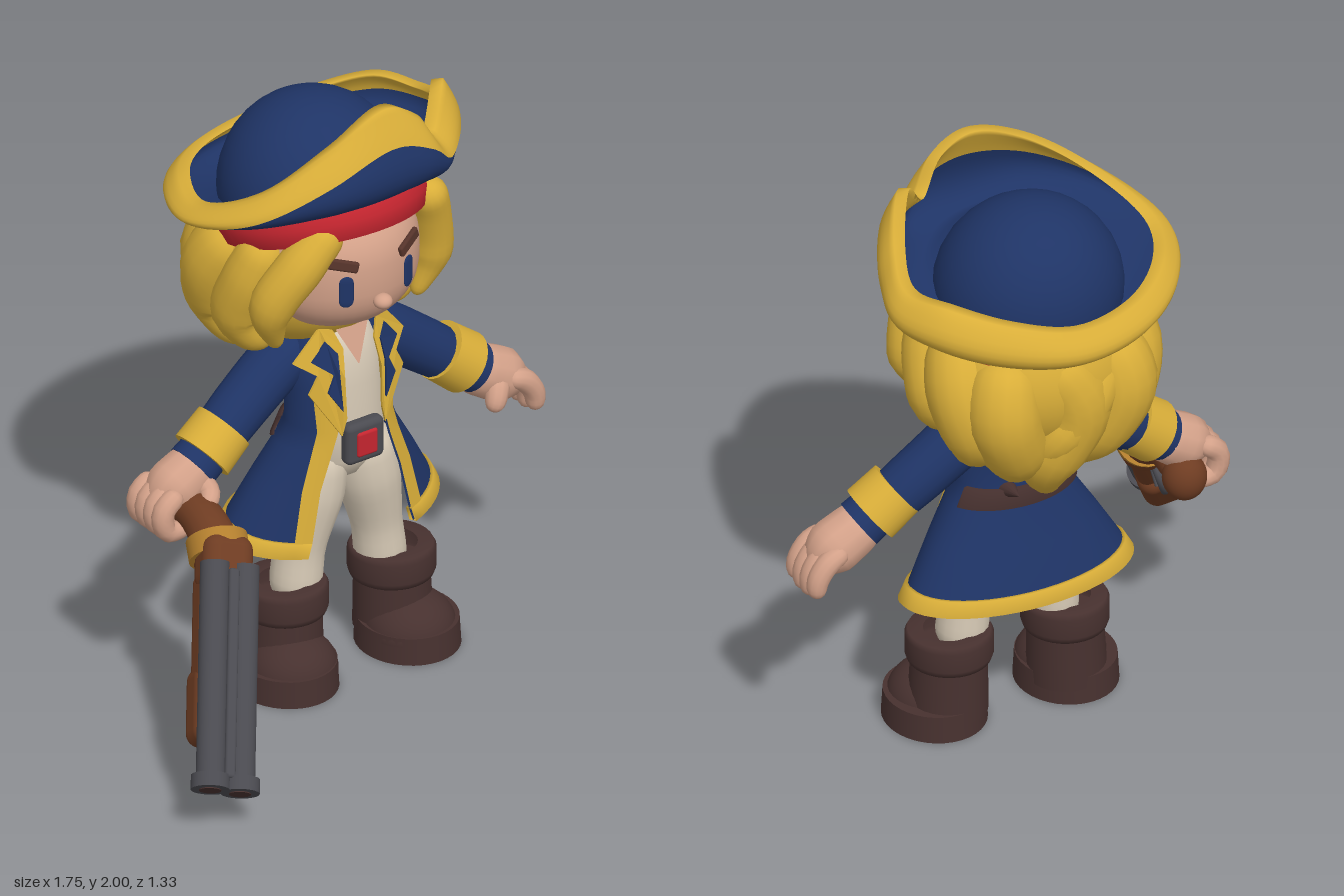
import * as THREE from 'three';
import { RoundedBoxGeometry } from 'three/addons/geometries/RoundedBoxGeometry.js';

const V = (x, y, z) => new THREE.Vector3(x, y, z);
const CX = 0.14; // body centre line

function makeMaterial(name, color, side = THREE.FrontSide) {
  const m = new THREE.MeshStandardMaterial({ color, side });
  m.name = name;
  return m;
}

// Skin a surface over loops of points
function loft(loops, closed = true) {
  const n = loops[0].length, pos = [], idx = [];
  loops.forEach((l) => l.forEach((p) => pos.push(p.x, p.y, p.z)));
  for (let i = 0; i < loops.length - 1; i++) {
    for (let j = 0; j < (closed ? n : n - 1); j++) {
      const a = i * n + j, b = i * n + ((j + 1) % n), c = a + n, d = b + n;
      idx.push(a, b, c, b, d, c);
    }
  }
  const g = new THREE.BufferGeometry();
  g.setAttribute('position', new THREE.Float32BufferAttribute(pos, 3));
  g.setIndex(idx);
  g.computeVertexNormals();
  return g;
}

// Round-ended limb of varying radius along a curve
function sweep(pts, radii, n = 24, sides = 16) {
  const curve = new THREE.CatmullRomCurve3(pts), len = curve.getLength();
  const frames = curve.computeFrenetFrames(200), loops = [];
  for (let k = 0; k <= n; k++) {
    const t = (1 - Math.cos((Math.PI * k) / n)) / 2, q = t * (radii.length - 1);
    const i = Math.min(Math.floor(q), radii.length - 2), f = Math.round(t * 200);
    let r = THREE.MathUtils.lerp(radii[i], radii[i + 1], q - i);
    const e = Math.min(t, 1 - t) * len;
    if (e < r) r *= Math.sqrt(Math.max(1e-6, 1 - (1 - e / r) ** 2));
    const c = curve.getPointAt(t);
    loops.push(Array.from({ length: sides }, (_, j) => {
      const a = (j / sides) * Math.PI * 2;
      return c.clone().addScaledVector(frames.normals[f], r * Math.cos(a)).addScaledVector(frames.binormals[f], r * Math.sin(a));
    }));
  }
  return loft(loops);
}

export function createModel() {
  const model = new THREE.Group();
  const skin = makeMaterial('skin', 0xd3a189, THREE.DoubleSide), navy = makeMaterial('navy cloth', 0x1f3466, THREE.DoubleSide);
  const gold = makeMaterial('gold', 0xd9ae39, THREE.DoubleSide), red = makeMaterial('red', 0xc4252f);
  const cream = makeMaterial('cream cloth', 0xd6c9b5), leather = makeMaterial('dark leather', 0x47312f, THREE.DoubleSide);
  const metal = makeMaterial('gunmetal', 0x4a4a50), wood = makeMaterial('wood', 0x6e3c22), brass = makeMaterial('brass', 0xb37f2e);
  const browBrown = makeMaterial('brow brown', 0x55332a);

  const add = (name, geo, mat, p = [0, 0, 0], s = [1, 1, 1], parent = model) => {
    const m = new THREE.Mesh(geo, mat);
    m.name = name;
    m.position.set(...p);
    m.scale.set(...s);
    parent.add(m);
    return m;
  };
  const ball = (name, mat, p, s) => add(name, new THREE.SphereGeometry(1, 32, 20), mat, p, s);
  const rod = (name, mat, a, b, r1, r2 = r1) => {
    const m = add(name, new THREE.CylinderGeometry(r2, r1, a.distanceTo(b), 28), mat, a.clone().add(b).multiplyScalar(0.5).toArray());
    m.quaternion.setFromUnitVectors(V(0, 1, 0), b.clone().sub(a).normalize());
    return m;
  };

  // Head: slightly squared sphere
  const head = new THREE.SphereGeometry(1, 40, 28), hp = head.attributes.position;
  for (let i = 0; i < hp.count; i++) hp.setY(i, Math.sign(hp.getY(i)) * Math.abs(hp.getY(i)) ** 0.75);
  head.computeVertexNormals();
  add('head', head, skin, [CX, 1.43, -0.13], [0.27, 0.23, 0.26]);
  ball('nose', skin, [CX, 1.36, 0.138], [0.03, 0.024, 0.03]);
  for (const s of [-1, 1]) {
    const eye = add('eye', new THREE.CapsuleGeometry(0.023, 0.062, 6, 16), navy, [CX + s * 0.115, 1.415, 0.109], [1, 1, 0.2]);
    eye.rotation.y = s * 0.4;
    const brow = add('eyebrow', new RoundedBoxGeometry(0.11, 0.036, 0.018, 3, 0.008), browBrown, [CX + s * 0.125, 1.507, 0.096]);
    brow.rotation.set(-0.15, s * 0.45, s * 0.3);
  }
  rod('neck', skin, V(CX, 1.08, -0.12), V(CX, 1.26, -0.12), 0.08, 0.075);

  // Hair: rounded mass with overlapping tapering locks
  ball('hairMass', gold, [CX, 1.37, -0.26], [0.345, 0.29, 0.295]);
  const lock = (pts, radii) => add('hairLock', sweep(pts.map((p) => V(...p)), radii), gold);
  lock([[0.03, 1.63, 0.045], [-0.09, 1.5, 0.025], [-0.165, 1.36, -0.02], [-0.125, 1.2, -0.05]], [0.06, 0.075, 0.072, 0.02]);
  lock([[0.39, 1.63, 0.01], [0.435, 1.5, -0.03], [0.455, 1.34, -0.06], [0.4, 1.2, -0.06]], [0.06, 0.065, 0.07, 0.02]);
  for (const s of [-1, 1]) {
    const x = (d) => CX + s * d;
    lock([[x(0.25), 1.56, -0.1], [x(0.29), 1.4, -0.15], [x(0.29), 1.26, -0.2], [x(0.23), 1.14, -0.15]], [0.07, 0.09, 0.095, 0.05]);
    lock([[x(0.24), 1.53, -0.24], [x(0.28), 1.36, -0.34], [x(0.24), 1.2, -0.36], [x(0.23), 1.1, -0.26]], [0.1, 0.115, 0.11, 0.05]);
    lock([[x(0.16), 1.5, -0.4], [x(0.2), 1.32, -0.45], [x(0.13), 1.13, -0.4], [x(0.1), 1.0, -0.31]], [0.1, 0.12, 0.11, 0.04]);
  }
  lock([[0.2, 1.5, -0.44], [0.1, 1.3, -0.465], [0.17, 1.08, -0.41], [0.13, 0.92, -0.34]], [0.1, 0.115, 0.11, 0.03]);
  lock([[-0.06, 1.5, -0.38], [0.06, 1.32, -0.48], [0.18, 1.18, -0.47], [0.24, 1.06, -0.38]], [0.07, 0.085, 0.08, 0.02]);

  // Hat: band, crown and a wavy upturned brim
  const band = add('hatBand', new THREE.LatheGeometry([[0.3, -0.06], [0.325, -0.055], [0.338, 0], [0.33, 0.055], [0.29, 0.06]].map((p) => new THREE.Vector2(...p)), 48), red, [CX, 1.56, -0.2]);
  band.rotation.x = -0.3;
  ball('hatCrown', navy, [CX, 1.6, -0.235], [0.298, 0.305, 0.285]).rotation.x = -0.3;
  const edge = new THREE.CatmullRomCurve3([
    [-0.31, 1.69, -0.2], [-0.22, 1.78, -0.01], [-0.02, 1.92, 0.085], [0.19, 2.0, 0.085], [0.3, 1.94, 0.085], [0.38, 1.83, 0.05],
    [0.48, 1.94, -0.04], [0.56, 1.82, -0.17], [0.595, 1.76, -0.31], [0.53, 1.76, -0.45], [0.37, 1.71, -0.56],
    [0.16, 1.66, -0.61], [-0.07, 1.66, -0.55], [-0.23, 1.68, -0.41],
  ].map((p) => V(...p)), true);
  // t is the height up the brim; the gold trim starts lower at the sides and back
  const brimLoop = (tOf, inset) => Array.from({ length: 112 }, (_, j) => {
    const e = edge.getPoint(j / 112), a = Math.atan2(e.x - CX, e.z + 0.21);
    const dx = Math.sin(a), dz = Math.cos(a), r = 0.31, t = tOf(dz);
    const f = 1.1 * Math.sin(2 * t), out = (0.045 + 0.03 * Math.max(0, dz)) * Math.sin(Math.PI * t) - inset;
    const by = 1.605 + dz * r * 0.28, k = t ** 1.5;
    return V(CX + dx * r + (e.x - CX - dx * r) * f + dx * out,
      by + (e.y - by) * k + inset * 0.5 * (1 - t),
      -0.21 + dz * r + (e.z + 0.21 - dz * r) * f + dz * out);
  });
  const steps = (a, b, n) => Array.from({ length: n + 1 }, (_, i) => a + ((b - a) * i) / n);
  const split = (dz) => 0.44 + (dz > 0 ? 0.3 : 0.08) * dz;
  add('brimOutside', loft(steps(0, 1, 8).map((k) => brimLoop((dz) => split(dz) * k, 0))), navy);
  add('brimTrim', loft([...steps(0, 1, 7).map((k) => brimLoop((dz) => split(dz) + (1 - split(dz)) * k, -0.006)),
    ...steps(1, 0.72, 5).map((t) => brimLoop(() => t, 0.03))]), gold);
  add('brimInside', loft([...steps(0.72, 0, 8).map((t) => brimLoop(() => t, 0.03)), brimLoop(() => 0, 0.1)]), navy);

  // Shirt, open collar and hips
  add('shirt', new THREE.LatheGeometry([[0, 0.66], [0.1, 0.67], [0.15, 0.74], [0.155, 0.85], [0.145, 1.0], [0.135, 1.1], [0.09, 1.18], [0, 1.2]].map((p) => new THREE.Vector2(...p)), 36), cream, [CX, 0, -0.105], [1, 1, 0.78]);
  add('openCollar', loft([[V(0.075, 1.21, -0.03), V(0.205, 1.21, -0.03)], [V(0.138, 1.08, 0.012), V(0.142, 1.08, 0.012)]], false), skin);

  // Coat rows: y, half width, centre z, front depth, back depth, half opening
  const rows = [[0.505, 0.38, -0.16, 0.21, 0.195, 0.195], [0.553, 0.355, -0.155, 0.203, 0.188, 0.18], [0.68, 0.28, -0.14, 0.18, 0.155, 0.145],
    [0.8, 0.205, -0.12, 0.16, 0.13, 0.105], [0.87, 0.176, -0.11, 0.15, 0.12, 0.085], [1.0, 0.175, -0.11, 0.135, 0.12, 0.09],
    [1.12, 0.168, -0.125, 0.125, 0.12, 0.09], [1.19, 0.125, -0.14, 0.1, 0.11, 0.08], [1.23, 0.09, -0.14, 0.07, 0.09, 0.07]];
  const coatLoop = ([y, rx, cz, f, b, o], from, to, grow = 0) => {
    const at = (k) => (k < 0 ? Math.PI * -k : Math.asin(Math.min(1, (o + k) / rx)));
    const a0 = at(from), a1 = to === null ? Math.PI * 2 - a0 : at(to);
    return steps(a0, a1, 40).map((a) => V(CX + (rx + grow) * Math.sin(a),
      y - (y < 0.6 ? 0.05 * Math.max(0, Math.cos(a)) : 0),
      cz + ((Math.cos(a) > 0 ? f : b) + grow) * Math.cos(a)));
  };
  add('coat', loft(rows.map((r) => coatLoop(r, 0, null)), false), navy);
  add('coatHem', loft([coatLoop(rows[0], 0, null), coatLoop(rows[0], 0, null, 0.012), coatLoop(rows[1], 0, null, 0.01), coatLoop(rows[1], 0, null, -0.01), coatLoop(rows[0], 0, null, -0.012), coatLoop(rows[0], 0, null)], false), gold);
  for (const s of [1, -1]) {
    const strip = rows.slice(0, 6).map((r) => coatLoop(r, 0, 0.05, 0.008));
    strip.forEach((l) => l.forEach((p) => { p.x = CX + s * (p.x - CX); }));
    add('frontTrim', loft(strip, false), gold);
    // Lapel: notched gold plate with a navy inset, wrapped to the chest
    const lapel = (name, pts, mat, z) => {
      const g = new THREE.ExtrudeGeometry(new THREE.Shape(pts.map(([x, y]) => new THREE.Vector2(CX + s * x, y))), { depth: 0.008, bevelEnabled: false });
      const p = g.attributes.position;
      for (let i = 0; i < p.count; i++) p.setZ(i, p.getZ(i) + z - 1.7 * (p.getX(i) - CX) ** 2 - 0.3 * Math.max(0, p.getY(i) - 1.04));
      g.computeVertexNormals();
      add(name, g, mat);
    };
    lapel('lapelEdge', [[0.12, 1.22], [0.205, 1.115], [0.145, 1.075], [0.175, 1.015], [0.08, 0.86], [0.065, 0.92], [0.068, 1.06], [0.058, 1.15], [0.08, 1.21]], gold, 0.042);
    lapel('lapelFace', [[0.11, 1.18], [0.158, 1.12], [0.1, 1.075], [0.124, 1.02], [0.08, 0.95], [0.085, 1.07], [0.08, 1.14]], navy, 0.048);
  }

  // Belt and buckle
  const beltRow = (y, g) => coatLoop([y, 0.18 + (0.87 - y) * 0.5, -0.11, 0.15, 0.122 + (0.87 - y) * 0.2, 0], -0.62, -1.38, g);
  add('belt', loft([beltRow(0.81, 0), beltRow(0.81, 0.014), beltRow(0.87, 0.014), beltRow(0.87, 0)], false), leather);
  const knot = add('beltKnot', new THREE.ConeGeometry(0.03, 0.08, 12), leather, [0.2, 0.87, -0.255]);
  knot.rotation.x = -1.4;
  add('buckle', new RoundedBoxGeometry(0.14, 0.14, 0.05, 4, 0.02), metal, [CX, 0.82, 0.03]);
  add('buckleGem', new RoundedBoxGeometry(0.075, 0.085, 0.02, 3, 0.009), red, [CX, 0.82, 0.053]);

  for (const s of [-1, 1]) {
    const x = (d) => CX + s * d;
    // Legs and boots
    add('leg', sweep([V(x(0.075), 0.8, -0.1), V(x(0.1), 0.64, -0.095), V(x(0.138), 0.46, -0.1), V(x(0.165), 0.24, -0.1)], [0.1, 0.105, 0.08, 0.085]), cream);
    rod('bootShaft', leather, V(x(0.205), 0.05, -0.1), V(x(0.2), 0.25, -0.1), 0.125, 0.118);
    add('bootCuff', new THREE.LatheGeometry([[0.11, 0.225], [0.13, 0.23], [0.137, 0.25], [0.137, 0.315], [0.128, 0.332], [0.08, 0.332]].map((p) => new THREE.Vector2(...p)), 32), leather, [x(0.2), 0, -0.1]);
    add('bootToe', new THREE.SphereGeometry(1, 32, 12, 0, Math.PI * 2, 0, Math.PI / 2), leather, [x(0.22), 0.06, -0.035], [0.145, 0.12, 0.145]);
    add('bootSole', new THREE.CylinderGeometry(0.155, 0.16, 0.09, 36), leather, [x(0.227), 0.045, -0.055], [1, 1, 1.09]);
    // Sleeves and cuffs
    add('sleeve', sweep([V(x(0.08), 1.12, -0.16), V(x(0.17), 1.075, -0.16), V(x(0.32), 0.97, -0.15), V(x(0.48), 0.85, -0.13)], [0.09, 0.092, 0.088, 0.08]), navy);
    rod('sleeveEnd', navy, V(x(0.44), 0.885, -0.13), V(x(0.525), 0.825, -0.125), 0.078, 0.082);
    rod('cuff', gold, V(x(0.4), 0.922, -0.135), V(x(0.488), 0.852, -0.127), 0.096, 0.1);
  }

  // Open left hand
  const finger = (name, pts, radii) => add(name, sweep(pts.map((p) => V(...p)), radii, 16, 12), skin);
  finger('leftPalm', [[0.6, 0.86, -0.125], [0.69, 0.805, -0.125], [0.76, 0.765, -0.125], [0.83, 0.715, -0.125]], [0.06, 0.084, 0.09, 0.065]);
  for (let i = 0; i < 4; i++) {
    const z = -0.058 - i * 0.044, k = Math.abs(i - 1.4) * 0.012;
    finger('leftFinger', [[0.74, 0.79, z], [0.8, 0.765, z], [0.84, 0.71, z], [0.845, 0.63 + k, z]], [0.03, 0.037, 0.035, 0.028]);
  }
  finger('leftThumb', [[0.72, 0.79, -0.08], [0.69, 0.74, -0.045], [0.675, 0.7, -0.045]], [0.045, 0.036, 0.028]);

  // Right hand closed on the grip
  finger('rightPalm', [[-0.32, 0.86, -0.125], [-0.42, 0.8, -0.125], [-0.49, 0.755, -0.125], [-0.52, 0.72, -0.125]], [0.06, 0.084, 0.09, 0.065]);
  for (let i = 0; i < 4; i++) {
    const z = -0.055 - i * 0.044;
    finger('rightFinger', [[-0.48, 0.8, z], [-0.54, 0.75, z], [-0.53, 0.68, z], [-0.45, 0.665, z]], [0.034, 0.036, 0.034, 0.026]);
  }
  finger('rightThumb', [[-0.4, 0.82, -0.1], [-0.38, 0.77, -0.04], [-0.42, 0.75, 0.0]], [0.04, 0.035, 0.026]);

  // Gun stock with rounded pommel
  add('stock', sweep([V(-0.48, 0.55, 0.17), V(-0.445, 0.645, 0.1), V(-0.43, 0.71, 0.0), V(-0.43, 0.72, -0.1), V(-0.43, 0.69, -0.18)], [0.08, 0.08, 0.07, 0.06, 0.062]), wood);
  ball('pommel', wood, [-0.43, 0.69, -0.18], [0.07, 0.078, 0.068]);
  rod('stockRing', brass, V(-0.435, 0.685, 0.075), V(-0.457, 0.645, 0.125), 0.095);

  // Barrel group: local z runs to the muzzle, y is the top of the gun
  const gun = new THREE.Group();
  gun.name = 'gunBarrels';
  const dz = V(-0.29, -0.49, 0.39).normalize(), dy = dz.clone().cross(V(0.9, -0.3, 0.29)).normalize();
  gun.quaternion.setFromRotationMatrix(new THREE.Matrix4().makeBasis(dy.clone().cross(dz), dy, dz));
  gun.position.set(-0.48, 0.65, 0.21);
  model.add(gun);
  const tube = (name, r, z0, z1, x, mat) => {
    add(name, new THREE.CylinderGeometry(r, r, z1 - z0, 28), mat, [x, 0, (z0 + z1) / 2], [1, 1, 1], gun).rotation.x = Math.PI / 2;
  };
  for (const x of [-0.05, 0.05]) {
    tube('barrel', 0.045, -0.02, 0.68, x, metal);
    tube('muzzleRing', 0.06, 0.65, 0.695, x, metal);
    tube('bore', 0.034, 0.69, 0.698, x, leather);
  }
  const block = (name, size, p, mat) => add(name, new RoundedBoxGeometry(...size, 4, Math.min(...size) * 0.35), mat, p, [1, 1, 1], gun);
  block('barrelRib', [0.035, 0.03, 0.66], [0, 0.03, 0.33], metal);
  block('receiver', [0.165, 0.14, 0.18], [0, -0.045, -0.03], wood);
  block('forendRear', [0.15, 0.11, 0.38], [0, -0.08, 0.18], wood);
  block('forendFront', [0.16, 0.13, 0.25], [0, -0.095, 0.41], wood);
  const guard = add('triggerGuard', new THREE.TorusGeometry(0.055, 0.014, 10, 28), metal, [0, -0.175, 0.055], [1.25, 0.85, 1], gun);
  guard.rotation.y = Math.PI / 2;
  rod('trigger', metal, V(-0.465, 0.58, 0.11), V(-0.465, 0.5, 0.06), 0.012, 0.008);
  return model;
}
